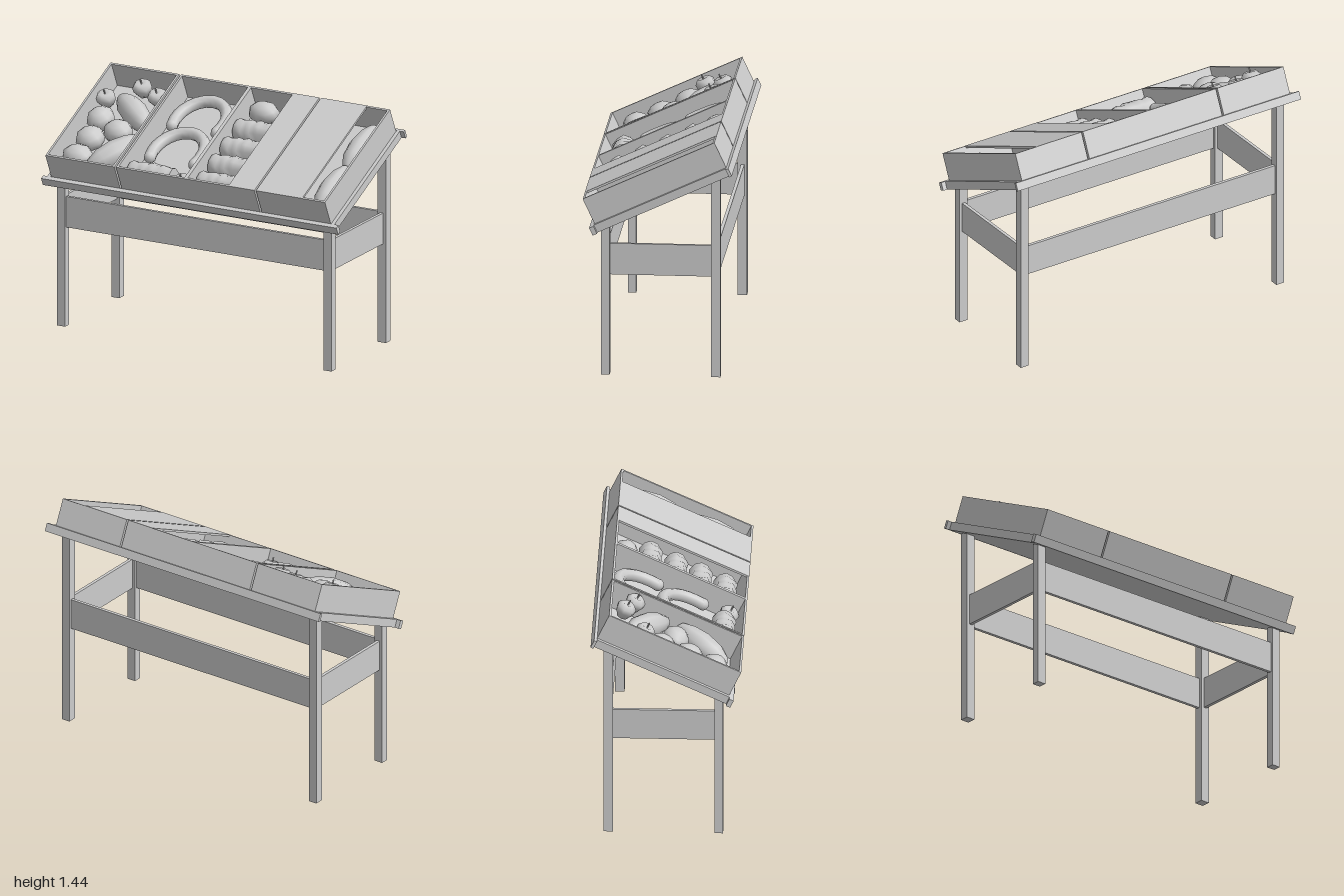
import * as THREE from 'three';

const TILT = 0.436;
const grey = new THREE.MeshStandardMaterial({ color: 0xcccccc, side: THREE.DoubleSide });
grey.name = 'plain grey';

function add(parent, name, geometry, x = 0, y = 0, z = 0) {
  const m = new THREE.Mesh(geometry, grey);
  m.name = name;
  m.position.set(x, y, z);
  parent.add(m);
  return m;
}

// Box given by its limits on each axis
function block(parent, name, x0, x1, y0, y1, z0, z1) {
  return add(parent, name, new THREE.BoxGeometry(x1 - x0, y1 - y0, z1 - z0),
    (x0 + x1) / 2, (y0 + y1) / 2, (z0 + z1) / 2);
}

function lathe(points, sides) {
  return new THREE.LatheGeometry(points.map(([r, y]) => new THREE.Vector2(r, y)), sides);
}

// Open crate with floor and four walls
function crate(parent, name, x0, x1) {
  const g = new THREE.Group();
  g.name = name;
  const t = 0.013, y0 = 0.016, y1 = 0.215, z0 = -0.435, z1 = 0.424;
  block(g, 'crateFloor', x0, x1, y0, 0.05, z0, z1);
  block(g, 'crateBack', x0, x1, y0, y1, z0, z0 + t);
  block(g, 'crateFront', x0, x1, y0, y1, z1 - t, z1);
  for (const x of [x0, x1 - t]) block(g, 'crateSide', x, x + t, y0, y1, z0 + t, z1 - t);
  parent.add(g);
  return g;
}

// Plaited loaf lying along x
function loafGeometry() {
  const g = new THREE.CylinderGeometry(0.07, 0.07, 0.29, 10, 10);
  g.rotateZ(Math.PI / 2);
  const p = g.attributes.position;
  for (let i = 0; i < p.count; i++) {
    const x = p.getX(i), y = p.getY(i), z = p.getZ(i);
    const a = Math.atan2(z, y);
    const k = 1 + 0.13 * Math.sin(x * 62 + 2 * a) * Math.cos(x * 31 - 3 * a);
    const end = Math.abs(x) > 0.14 ? 0.88 : 1;
    p.setXYZ(i, x, y * k * end, z * k * end);
  }
  g.computeVertexNormals();
  return g;
}

export function createModel() {
  const model = new THREE.Group();
  model.name = 'marketStall';

  // Legs and aprons
  for (const s of [-1, 1]) {
    const x = 0.9025 * s;
    block(model, 'frontLeg', x - 0.0275, x + 0.0275, 0, 0.905, 0.285, 0.335);
    block(model, 'backLeg', x - 0.0275, x + 0.0275, 0, 1.21, -0.37, -0.315);
    block(model, 'sideApron', x - 0.01, x + 0.01, 0.61, 0.8, -0.315, 0.285);
  }
  block(model, 'frontApron', -0.875, 0.875, 0.61, 0.8, 0.3, 0.32);
  block(model, 'backApron', -0.875, 0.875, 0.61, 0.8, -0.355, -0.335);

  // Sloping tray
  const tray = new THREE.Group();
  tray.name = 'slopingTray';
  tray.position.set(0, 1.06, -0.0325);
  tray.rotation.x = TILT;
  model.add(tray);
  block(tray, 'trayBoard', -0.97, 0.97, 0, 0.016, -0.43, 0.43);
  block(tray, 'frontLip', -1, 1, 0, 0.05, 0.426, 0.454);
  block(tray, 'backLip', -1, 1, 0, 0.05, -0.454, -0.436);
  for (const s of [-1, 1]) add(tray, 'sideLip', new THREE.BoxGeometry(0.022, 0.05, 0.87), 0.962 * s, 0.025, 0);

  // Crates and lids
  crate(tray, 'rightCrate', -0.947, -0.48);
  const middle = crate(tray, 'middleCrate', -0.469, 0.469);
  block(middle, 'divider', -0.01, 0.012, 0.05, 0.215, -0.422, 0.411);
  crate(tray, 'leftCrate', 0.48, 0.947);
  block(tray, 'middleLid', 0.292, 0.469, 0.203, 0.216, -0.435, 0.424);
  block(tray, 'leftLid', 0.48, 0.792, 0.203, 0.216, -0.435, 0.424);

  // Places goods by level x and z, at height v above the tray
  const slopeZ = (z, v) => (z + 0.0325 - Math.sin(TILT) * v) / Math.cos(TILT);
  const put = (name, geometry, x, z, v) => add(tray, name, geometry, x, v, slopeZ(z, v));

  // Round vegetables
  const round = new THREE.SphereGeometry(1, 9, 6);
  for (const [x, z, rx, rz] of [[-0.84, -0.03, 0.085, 0.09], [-0.82, 0.13, 0.09, 0.09],
    [-0.68, 0.045, 0.093, 0.083], [-0.82, 0.28, 0.1, 0.083], [0.125, -0.28, 0.1, 0.075]]) {
    put('potato', round, x, z, 0.12).scale.set(rx, 0.07, rz);
  }

  // Long tapering vegetables
  const long = lathe([[0, -0.2], [0.035, -0.18], [0.066, -0.1], [0.08, 0], [0.07, 0.1], [0.04, 0.17], [0, 0.2]], 9);
  long.rotateZ(Math.PI / 2);
  for (const [x, z, yaw] of [[-0.66, -0.12, -0.645], [-0.61, 0.2, 0.98],
    [0.863, -0.14, Math.PI / 2], [0.863, 0.2, Math.PI / 2]]) {
    put('longVegetable', long, x, z, 0.115).rotation.y = yaw;
  }

  // Apples with stems
  const apple = lathe([[0, -0.042], [0.035, -0.05], [0.058, -0.01], [0.06, 0.02], [0.038, 0.045], [0, 0.033]], 7);
  const stem = new THREE.CylinderGeometry(0.005, 0.004, 0.035, 5);
  for (const [x, z, v] of [[-0.86, -0.13, 0.165], [-0.68, -0.25, 0.165], [-0.55, -0.2, 0.165], [-0.08, 0.335, 0.11]]) {
    const a = put('apple', apple, x, z, v);
    add(a, 'appleStem', stem, 0, 0.05, 0);
  }

  // Horseshoe sausages with rounded ends
  const arc = [];
  for (let i = 0; i <= 12; i++) {
    const a = -0.35 + (Math.PI + 0.7) * i / 12;
    arc.push(new THREE.Vector3(0.16 * Math.cos(a), 0, -0.19 * Math.sin(a)));
  }
  const tube = new THREE.TubeGeometry(new THREE.CatmullRomCurve3(arc), 14, 0.037, 8);
  const cap = new THREE.SphereGeometry(0.037, 8, 6);
  for (const z of [-0.14, 0.125]) {
    const s = put('sausage', tube, -0.235, z, 0.11);
    for (const e of [arc[0], arc[12]]) add(s, 'sausageEnd', cap, e.x, e.y, e.z);
  }

  // Plaited loaves
  const loaf = loafGeometry();
  for (const [x, z] of [[0.165, -0.14], [0.165, 0.01], [0.165, 0.155], [0.165, 0.3], [-0.3, 0.31]]) {
    put('loaf', loaf, x, z, 0.105);
  }
  return model;
}
